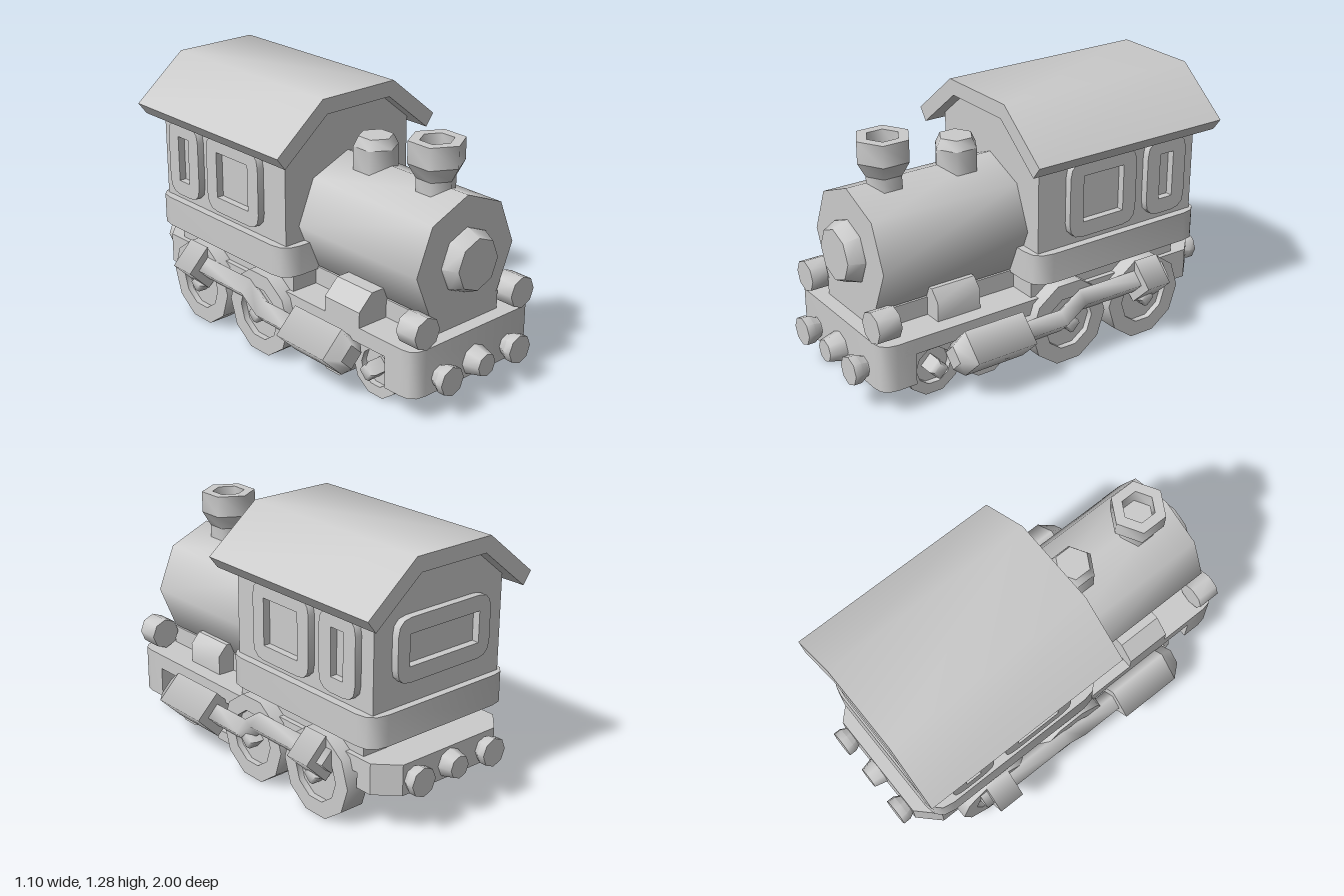
import * as THREE from 'three';
import { toCreasedNormals } from 'three/addons/utils/BufferGeometryUtils.js';

const mat = new THREE.MeshStandardMaterial({ color: 0xcccccc });
const V = (pts) => pts.map((p) => new THREE.Vector2(p[0], p[1]));

export function createModel() {
  const model = new THREE.Group();

  const add = (name, geo, x = 0, y = 0, z = 0) => {
    const m = new THREE.Mesh(geo, mat);
    m.name = name;
    m.position.set(x, y, z);
    model.add(m);
  };
  // box given by its limits
  const box = (name, x0, x1, y0, y1, z0, z1) =>
    add(name, new THREE.BoxGeometry(x1 - x0, y1 - y0, z1 - z0), (x0 + x1) / 2, (y0 + y1) / 2, (z0 + z1) / 2);
  // turned solid from [radius, height] pairs, axis up
  const turn = (pts, sides) =>
    toCreasedNormals(new THREE.LatheGeometry(V(pts), sides), sides > 6 ? 0.85 : 1.1);
  // turned solid with its axis along +z (dir 1) or -z (dir -1)
  const turnZ = (pts, sides, dir = 1) => turn(pts, sides).rotateX((dir * Math.PI) / 2);
  const extrude = (shape, depth) =>
    toCreasedNormals(new THREE.ExtrudeGeometry(shape, { depth, bevelEnabled: false, curveSegments: 3 }), 0.75);
  const roundRect = (w, h, r) => {
    const s = new THREE.Shape(), a = w / 2, b = h / 2;
    s.moveTo(-a + r, -b);
    s.lineTo(a - r, -b); s.quadraticCurveTo(a, -b, a, -b + r);
    s.lineTo(a, b - r); s.quadraticCurveTo(a, b, a - r, b);
    s.lineTo(-a + r, b); s.quadraticCurveTo(-a, b, -a, b - r);
    s.lineTo(-a, -b + r); s.quadraticCurveTo(-a, -b, -a + r, -b);
    return s;
  };

  // boiler and its front door
  add('boiler', turnZ([[0, 0], [0.305, 0], [0.305, 0.79], [0, 0.79]], 8), 0, 0.665, 0.06);
  add('boilerDoor', turnZ([[0, 0], [0.155, 0], [0.155, 0.015], [0.125, 0.08], [0, 0.08]], 8), 0, 0.665, 0.845);
  box('boilerSaddle', -0.22, 0.22, 0.35, 0.445, 0.06, 0.85);

  // chimney with open top, and steam dome
  add('chimneyBase', turn([[0, 0.88], [0.093, 0.88], [0.093, 1.0]], 6), 0, 0, 0.655);
  add('chimneyFlare', turn([[0.093, 1.0], [0.133, 1.07]], 6), 0, 0, 0.655);
  add('chimneyRim', turn([[0.133, 1.07], [0.133, 1.175], [0.08, 1.175], [0.08, 1.08], [0, 1.08]], 6), 0, 0, 0.655);
  add('steamDome', turn([[0, 0.88], [0.107, 0.88], [0.107, 1.045]], 6), 0, 0, 0.27);
  add('steamDomeCap', turn([[0.107, 1.045], [0.083, 1.093], [0, 1.093]], 6), 0, 0, 0.27);

  // cab body, roof and skirt
  const cab = new THREE.Shape(V([[-0.385, 0.43], [0.385, 0.43], [0.385, 1.05], [0.19, 1.207], [-0.19, 1.207], [-0.385, 1.05]]));
  add('cab', extrude(cab, 0.925), 0, 0, -0.845);
  const roof = new THREE.Shape(V([
    [-0.49, 1.06], [-0.445, 1.0], [-0.193, 1.205], [0.193, 1.205],
    [0.445, 1.0], [0.49, 1.06], [0.22, 1.28], [-0.22, 1.28],
  ]));
  add('roof', extrude(roof, 1.075), 0, 0, -0.92);
  add('cabSkirt', extrude(roundRect(0.85, 0.997, 0.1), 0.15).rotateX(-Math.PI / 2), 0, 0.435, -0.382);
  box('cabFloor', -0.36, 0.36, 0.34, 0.44, -0.765, 0.1);

  // raised window frames
  const frame = (name, w, h, hw, hh, x, y, z, turnY) => {
    const s = roundRect(w, h, 0.075);
    s.holes.push(new THREE.Path(V([[-hw / 2, -hh / 2], [-hw / 2, hh / 2], [hw / 2, hh / 2], [hw / 2, -hh / 2]])));
    add(name, extrude(s, 0.037).rotateY(turnY), x, y, z);
  };
  frame('rearWindowFrame', 0.56, 0.3, 0.42, 0.15, 0, 0.85, -0.845, Math.PI);

  // running board, chassis and end beams
  box('runningBoard', -0.385, 0.385, 0.28, 0.355, -0.76, 0.8);
  box('chassis', -0.31, 0.31, 0.205, 0.3, -0.8, 0.15);
  const beam = (depth, r, h, curved) => {
    const s = new THREE.Shape(), w = 0.385;
    s.moveTo(-w, 0);
    s.lineTo(-w, -depth + r);
    if (curved) s.quadraticCurveTo(-w, -depth, -w + r, -depth);
    else s.lineTo(-w + r, -depth);
    s.lineTo(w - r, -depth);
    if (curved) s.quadraticCurveTo(w, -depth, w, -depth + r);
    else s.lineTo(w, -depth + r);
    s.lineTo(w, 0);
    return extrude(s, h).rotateX(-Math.PI / 2);
  };
  add('frontBeam', beam(0.175, 0.08, 0.23, true), 0, 0.125, 0.745);
  add('rearBeam', beam(0.185, 0.1, 0.15, false).rotateY(Math.PI), 0, 0.205, -0.75);

  // round bumpers and centre couplers at both ends
  for (const [end, dir, y] of [['front', 1, 0.2], ['rear', -1, 0.275]]) {
    const z = dir * 0.9;
    add(end + 'Coupler', turnZ([[0, 0], [0.075, 0], [0.075, 0.02], [0.055, 0.1], [0, 0.1]], 8, dir), 0, y, z);
    for (const x of [-0.22, 0.22])
      add(end + 'Bumper', turnZ([[0, 0], [0.05, 0], [0.05, 0.025], [0.07, 0.062], [0.07, 0.1], [0, 0.1]], 8, dir), x, y, z);
  }

  // wheel: tyre with a recessed face
  const wheel = (r, width) => turn([
    [0, 0], [r, 0], [r, width], [r * 0.63, width], [r * 0.63, width - 0.03], [0, width - 0.03],
  ], 10);
  // name, z, y, radius, inner x, outer x, hub end x
  const wheels = [
    ['SmallWheel', 0.61, 0.14, 0.147, 0.235, 0.31, 0.373],
    ['SmallWheel', 0.32, 0.14, 0.147, 0.235, 0.31, 0.373],
    ['LargeWheel', -0.07, 0.206, 0.216, 0.31, 0.435, 0.47],
    ['LargeWheel', -0.53, 0.206, 0.216, 0.31, 0.435, 0.47],
  ];
  // thick axles between the small wheels
  for (const z of [0.61, 0.32])
    add('axle', new THREE.CylinderGeometry(0.09, 0.09, 0.5, 10).rotateZ(Math.PI / 2), 0, 0.14, z);

  for (const s of [1, -1]) {
    const side = s > 0 ? 'left' : 'right';
    const out = (-s * Math.PI) / 2;

    for (const [name, z, y, r, x0, x1, hub] of wheels) {
      add(side + name, wheel(r, x1 - x0).rotateZ(out), s * x0, y, z);
      add(side + 'Hub', turn([[0.05, 0], [0.05, 0.08], [0.035, 0.1], [0, 0.1]], 4).rotateZ(out), s * (hub - 0.1), y, z);
    }

    // steam cylinder, bent drive rod and rod end
    const barrel = new THREE.CylinderGeometry(0.115, 0.115, 0.32, 4).rotateX(Math.PI / 2);
    add(side + 'SteamCylinder', barrel, s * 0.435, 0.23, 0.36);
    const tip = new THREE.CylinderGeometry(0.06, 0.115, 0.065, 4).rotateX(Math.PI / 2);
    add(side + 'SteamCylinderTip', tip, s * 0.435, 0.23, 0.5525);
    const rod = new THREE.CylinderGeometry(0.057, 0.057, 3, 4, 3).rotateX(Math.PI / 2);
    const path = [[-0.64, 0.305], [-0.13, 0.305], [-0.02, 0.23], [0.21, 0.23]];
    const p = rod.attributes.position;
    for (let i = 0; i < p.count; i++) {
      const [z, y] = path[Math.round(p.getZ(i) + 1.5)];
      p.setY(i, p.getY(i) + y);
      p.setZ(i, z);
    }
    rod.computeVertexNormals();
    add(side + 'DriveRod', rod, s * 0.435);
    const rodEnd = new THREE.CylinderGeometry(0.111, 0.111, 0.135, 4).rotateX(Math.PI / 2);
    add(side + 'RodEnd', rodEnd, s * 0.435, 0.305, -0.533);

    // lamp
    add(side + 'Lamp', turnZ([[0, 0], [0.077, 0], [0.077, 0.115], [0, 0.115]], 8), s * 0.307, 0.432, 0.81);

    // side windows
    const wy = (s * Math.PI) / 2;
    frame(side + 'LargeWindowFrame', 0.39, 0.38, 0.235, 0.23, s * 0.384, 0.815, -0.27, wy);
    frame(side + 'SmallWindowFrame', 0.235, 0.38, 0.08, 0.23, s * 0.384, 0.815, -0.652, wy);
  }

  // chamfered tanks beside the boiler, the right one wider
  const tank = (name, pts) => add(name, extrude(new THREE.Shape(V(pts)), 0.23), 0, 0, 0.35);
  tank('leftTank', [[0.18, 0.35], [0.308, 0.35], [0.308, 0.45], [0.26, 0.502], [0.18, 0.502]]);
  tank('rightTank', [[-0.18, 0.35], [-0.385, 0.35], [-0.385, 0.43], [-0.308, 0.505], [-0.18, 0.505]]);

  return model;
}
